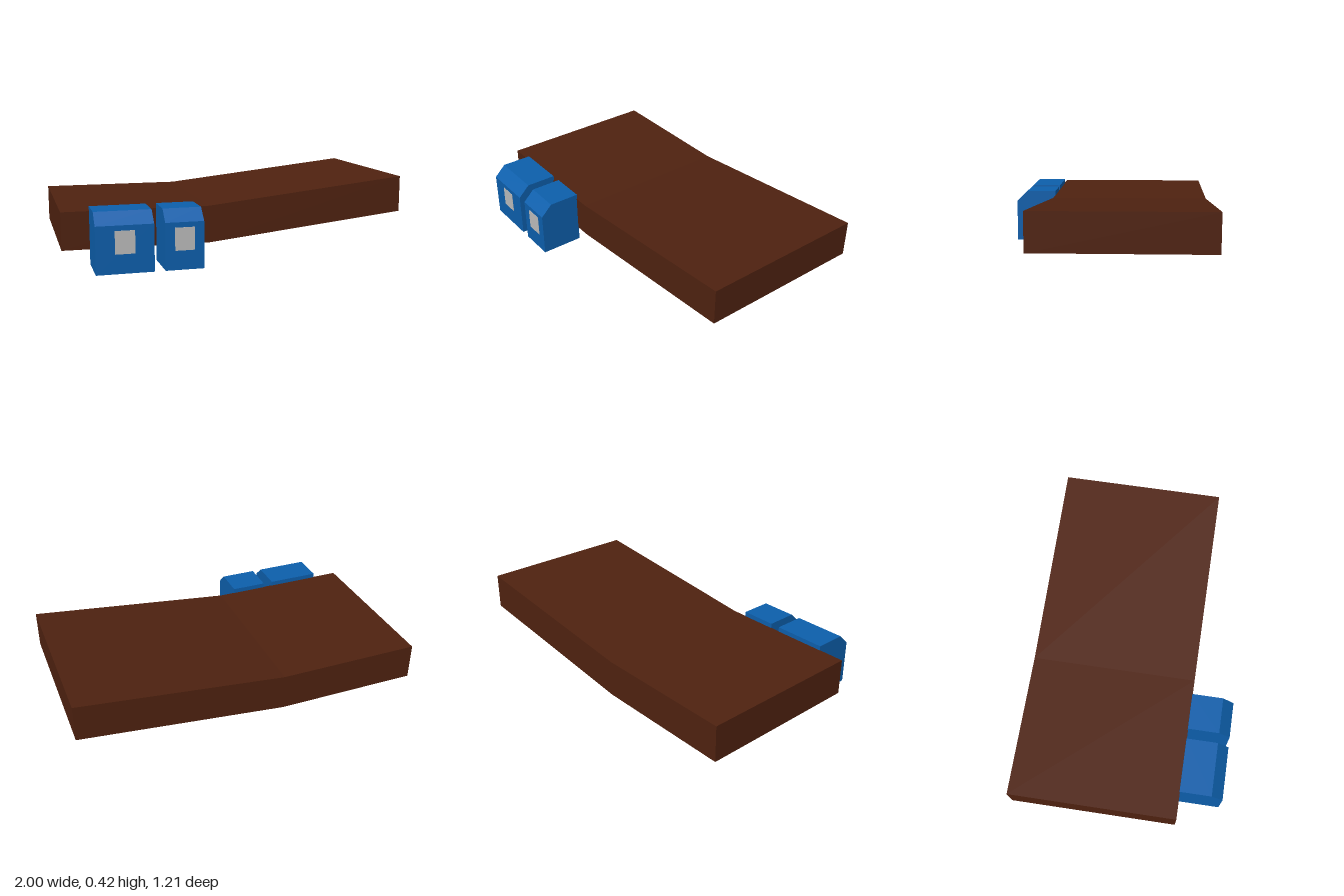
import * as THREE from 'three';

const brown = new THREE.MeshStandardMaterial({ name: 'brown', color: 0x4f2210, side: THREE.DoubleSide });
const blue = new THREE.MeshStandardMaterial({ name: 'blue', color: 0x0d5fac, side: THREE.DoubleSide });
const grey = new THREE.MeshStandardMaterial({ name: 'grey', color: 0xbcbcbc });

// Extrude an outline and leave out the faces that point down, giving a hollow shell
function openShell(points, depth) {
  const shape = new THREE.Shape(points.map(([x, y]) => new THREE.Vector2(x, y)));
  const solid = new THREE.ExtrudeGeometry(shape, { depth, bevelEnabled: false });
  const pos = solid.getAttribute('position');
  const tri = new THREE.Triangle();
  const normal = new THREE.Vector3();
  const kept = [];
  for (let i = 0; i < pos.count; i += 3) {
    tri.setFromAttributeAndIndices(pos, i, i + 1, i + 2);
    tri.getNormal(normal);
    if (normal.y > -0.5) for (const p of [tri.a, tri.b, tri.c]) kept.push(p.x, p.y, p.z);
  }
  const geo = new THREE.BufferGeometry();
  geo.setAttribute('position', new THREE.Float32BufferAttribute(kept, 3));
  return geo;
}

function addMesh(parent, name, geometry, material) {
  const mesh = new THREE.Mesh(geometry, material);
  mesh.name = name;
  parent.add(mesh);
  return mesh;
}

// Bent slab, open underneath, rising towards +x
function createSlab(parent) {
  const back = -0.604, front = 0.357, height = 0.21;
  const top = [[-1, 0.296], [-0.18, 0.293], [1, 0.416]];
  const bottom = top.map(([x, y]) => [x, y - height]).reverse();
  const geo = openShell([...bottom, ...top], front - back);
  geo.translate(0, 0, back);
  // Slight rise towards the back
  const pos = geo.getAttribute('position');
  for (let i = 0; i < pos.count; i++) {
    pos.setY(i, pos.getY(i) + 0.004 * (front - pos.getZ(i)) / (front - back));
  }
  geo.computeVertexNormals();
  addMesh(parent, 'slab', geo, brown);
}

// Box with a sloped front top edge, open underneath, and a panel on its front
function createBin(parent, name, x0, x1) {
  const bin = new THREE.Group();
  bin.name = name;
  const side = [[0.354, 0], [0.602, 0], [0.602, 0.257], [0.535, 0.322], [0.354, 0.322]];
  const geo = openShell(side, x1 - x0);
  geo.rotateY(-Math.PI / 2).translate(x1, 0, 0);
  geo.computeVertexNormals();
  addMesh(bin, 'binShell', geo, blue);
  const panel = addMesh(bin, 'frontPanel', new THREE.BoxGeometry(0.106, 0.124, 0.004), grey);
  panel.position.set((x0 + x1) / 2, 0.167, 0.602);
  parent.add(bin);
}

export function createModel() {
  const model = new THREE.Group();
  model.name = 'slabWithBins';
  createSlab(model);
  createBin(model, 'wideBin', -0.848, -0.54);
  createBin(model, 'narrowBin', -0.482, -0.272);
  return model;
}
